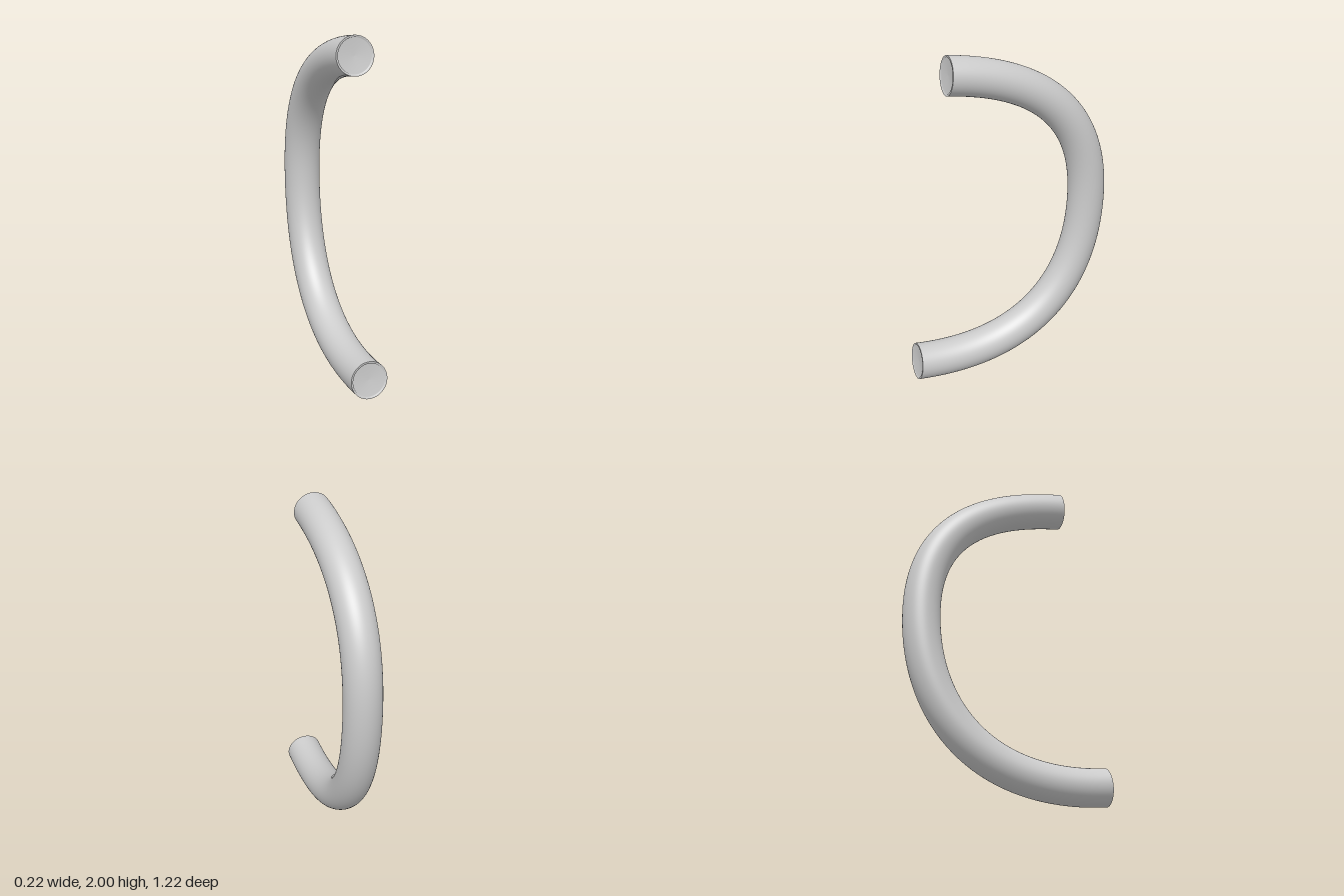
import * as THREE from 'three';

const RADIUS = 0.109;
const SIDES = 64;

export function createModel() {
  const group = new THREE.Group();
  group.name = 'curvedHandle';
  const material = new THREE.MeshStandardMaterial({ color: 0xcccccc });

  // Centre line: two bends in the side plane that meet upright at the grip
  const inward = new THREE.Vector3(0, -0.118, -0.993);
  const up = new THREE.Vector3(0, 1, 0);
  const top = new THREE.Vector3(0, 1.892, 0.357);
  const grip = new THREE.Vector3(0, 1.07, -0.499);
  const bottom = new THREE.Vector3(0, 0.122, 0.597);
  const along = (point, direction, length) => point.clone().addScaledVector(direction, length);

  const path = new THREE.CurvePath();
  path.add(new THREE.CubicBezierCurve3(top, along(top, inward, 0.64), along(grip, up, 0.42), grip));
  path.add(new THREE.CubicBezierCurve3(grip, along(grip, up, -0.61), along(bottom, inward, 0.74), bottom));

  const bar = new THREE.Mesh(new THREE.TubeGeometry(path, 120, RADIUS, SIDES), material);
  bar.name = 'bar';
  group.add(bar);

  // End caps: narrow rim around a shallow dished disc, softly shaded
  const profile = [
    [RADIUS, 0], [0.098, 0], [0.096, -0.007], [0, -0.011],
  ].map(([r, h]) => new THREE.Vector2(r, h));
  const capGeometry = new THREE.LatheGeometry(profile, SIDES);
  const outward = inward.clone().negate().normalize();
  for (const [name, position] of [['topCap', top], ['bottomCap', bottom]]) {
    const cap = new THREE.Mesh(capGeometry, material);
    cap.name = name;
    cap.position.copy(position);
    cap.quaternion.setFromUnitVectors(up, outward);
    group.add(cap);
  }

  return group;
}
